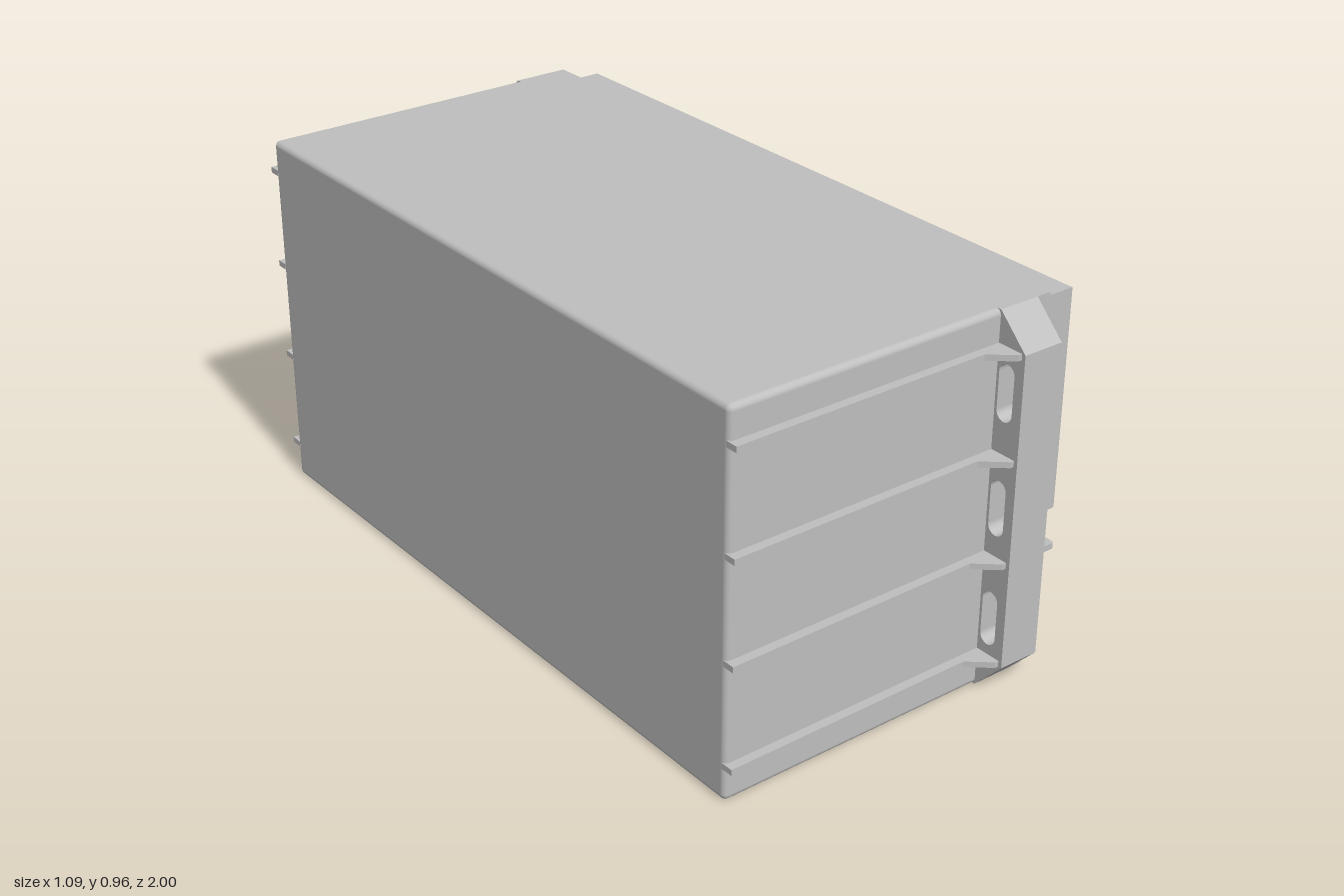
import * as THREE from 'three';
import { RoundedBoxGeometry } from 'three/addons/geometries/RoundedBoxGeometry.js';

const grey = new THREE.MeshStandardMaterial({ color: 0xbfbfbf });
grey.name = 'casing grey';

const polygon = (points) => new THREE.Shape(points.map(([a, b]) => new THREE.Vector2(a, b)));
const extrude = (shape, depth, options = {}) =>
  new THREE.ExtrudeGeometry(shape, { depth, bevelEnabled: false, curveSegments: 12, ...options });

// Profile drawn in (-z, y), extruded along +x from x0
const alongX = (shape, x0, depth, options) =>
  extrude(shape, depth, options).rotateY(Math.PI / 2).translate(x0, 0, 0);

// Profile drawn in (x, -z), extruded along +y from y0
const alongY = (shape, y0, depth) =>
  extrude(shape, depth).rotateX(-Math.PI / 2).translate(0, y0, 0);

// Upright rounded slot
function slot(u, y, halfWidth, halfHeight) {
  const path = new THREE.Path();
  const straight = halfHeight - halfWidth;
  path.absarc(u, y + straight, halfWidth, 0, Math.PI, false);
  path.absarc(u, y - straight, halfWidth, Math.PI, Math.PI * 2, false);
  path.closePath();
  return path;
}

export function createModel() {
  const model = new THREE.Group();
  model.name = 'batteryModule';
  const add = (name, geometry, parent = model) => {
    const mesh = new THREE.Mesh(geometry, grey);
    mesh.name = name;
    parent.add(mesh);
    return mesh;
  };
  const box = (name, x0, x1, y0, y1, z0, z1) =>
    add(name, new THREE.BoxGeometry(x1 - x0, y1 - y0, z1 - z0)
      .translate((x0 + x1) / 2, (y0 + y1) / 2, (z0 + z1) / 2));

  // Main case, softened at the rear, with a square rim at the cover end
  add('case', new RoundedBoxGeometry(0.88, 0.96, 1.84, 3, 0.015).translate(-0.105, 0.48, 0));
  box('caseRim', 0.2, 0.35, 0, 0.96, -0.92, 0.92);

  // Cover: full back plate and a raised face stepped in at both lower corners
  box('coverBase', 0.35, 0.415, 0.03, 0.935, -0.895, 0.895);
  const face = polygon([
    [-0.62, 0.03], [0.62, 0.03], [0.62, 0.375], [0.895, 0.375],
    [0.895, 0.935], [-0.895, 0.935], [-0.895, 0.375], [-0.62, 0.375],
  ]);
  add('coverFace', alongX(face, 0.39, 0.055, {
    bevelEnabled: true, bevelThickness: 0.005, bevelSize: 0.005, bevelOffset: -0.005, bevelSegments: 2,
  }));

  // Small oval marks on the cover
  for (const z of [-0.84, -0.095, 0.095, 0.84]) {
    add('coverMark', new THREE.CylinderGeometry(0.008, 0.008, 0.003, 12)
      .rotateZ(-Math.PI / 2).scale(1, 1.9, 1).translate(0.4515, 0.49, z));
  }

  for (const side of [1, -1]) {
    const name = side > 0 ? 'front' : 'rear';

    // Mounting flange with chamfered ends and three slots
    const flange = polygon([
      [side * 0.915, 0], [side * 0.92, 0], [side * 1, 0.085],
      [side * 1, 0.88], [side * 0.92, 0.96], [side * 0.915, 0.96],
    ]);
    for (const y of [0.195, 0.483, 0.77]) flange.holes.push(slot(side * 0.95, y, 0.023, 0.07));
    add(name + 'Flange', alongX(flange, 0.2, 0.11));

    // Ribs with a gusset up to the flange
    for (const y of [0.085, 0.346, 0.606, 0.866]) {
      const rib = polygon([
        [-0.545, side * 0.91], [-0.545, side * 0.943], [0.135, side * 0.943],
        [0.19, side * 0.99], [0.21, side * 0.99], [0.21, side * 0.91],
      ]);
      add(name + 'Rib', alongY(rib, y, 0.015));
    }

    // Terminal: flat tab with hole, and a round boss above it
    const terminal = new THREE.Group();
    terminal.name = name + 'Terminal';
    terminal.position.z = side * 0.76;
    model.add(terminal);
    const tab = new THREE.Shape();
    tab.moveTo(0.41, -0.06);
    tab.lineTo(0.535, -0.06);
    tab.quadraticCurveTo(0.545, -0.06, 0.545, -0.05);
    tab.lineTo(0.545, 0.05);
    tab.quadraticCurveTo(0.545, 0.06, 0.535, 0.06);
    tab.lineTo(0.41, 0.06);
    tab.closePath();
    tab.holes.push(new THREE.Path().absarc(0.495, 0, 0.025, 0, Math.PI * 2, true));
    add('terminalTab', alongY(tab, 0.194, 0.016), terminal);

    const ring = new THREE.Shape().absarc(0, 0.268, 0.04, 0, Math.PI * 2, false);
    ring.holes.push(new THREE.Path().absarc(0, 0.268, 0.019, 0, Math.PI * 2, true));
    add('terminalBoss', alongX(ring, 0.41, 0.024, { curveSegments: 24 }), terminal);
  }
  return model;
}
